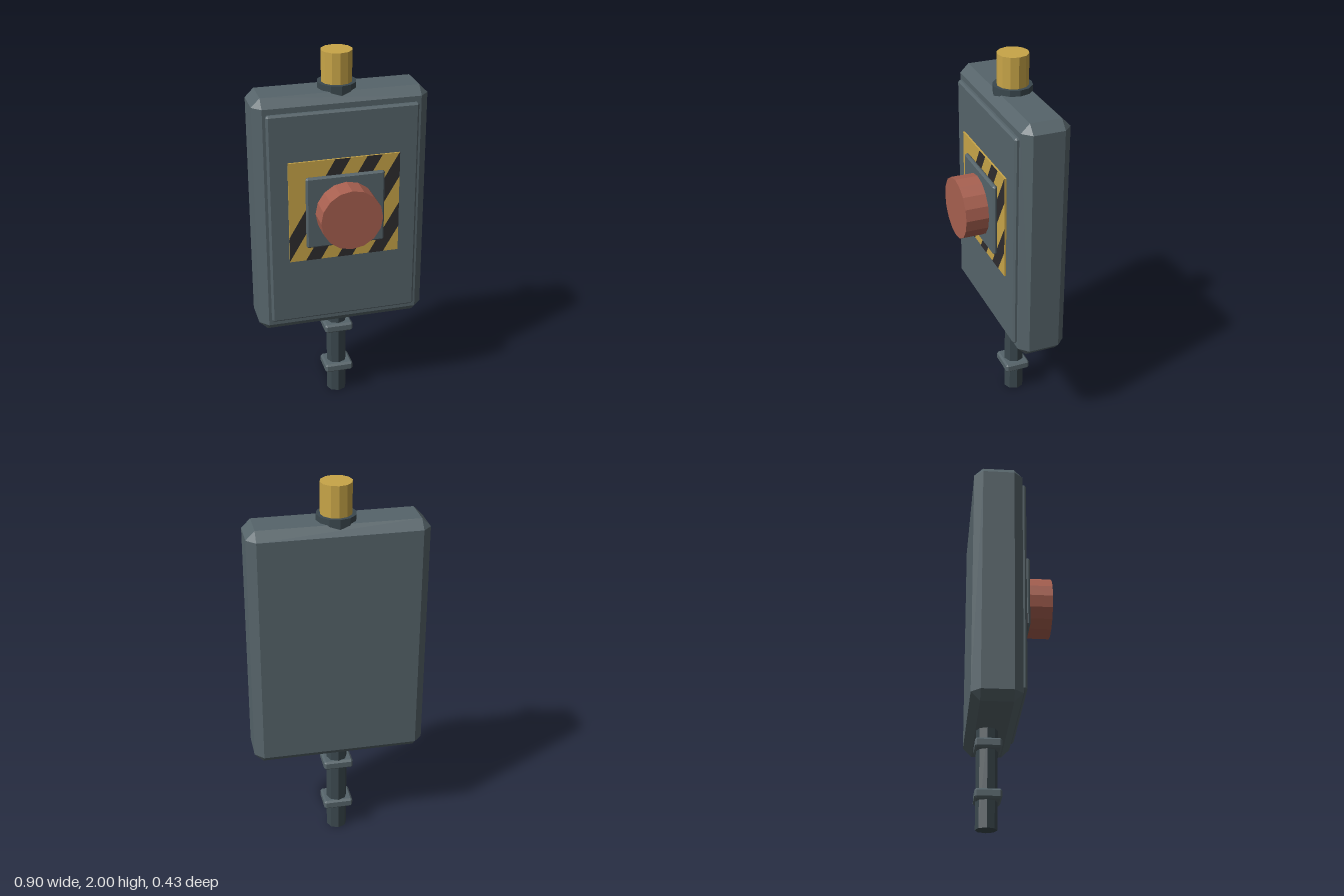
import * as THREE from 'three';
import { ConvexGeometry } from 'three/addons/geometries/ConvexGeometry.js';

const mat = (color, extra = {}) => new THREE.MeshStandardMaterial({ color, flatShading: true, ...extra });

// Box given by its bounds, with every edge cut at 45 degrees by c
function chamferBox([x0, x1], [y0, y1], [z0, z1], c) {
  const half = [(x1 - x0) / 2, (y1 - y0) / 2, (z1 - z0) / 2];
  const points = [];
  for (const sx of [-1, 1]) for (const sy of [-1, 1]) for (const sz of [-1, 1]) {
    for (let axis = 0; axis < 3; axis++) {
      const p = half.map((h, i) => (i === axis ? h : h - c));
      points.push(new THREE.Vector3(sx * p[0], sy * p[1], sz * p[2]));
    }
  }
  return new ConvexGeometry(points).translate((x0 + x1) / 2, (y0 + y1) / 2, (z0 + z1) / 2);
}

// Upright prism between two heights
const post = (r, y0, y1, sides, z) =>
  new THREE.CylinderGeometry(r, r, y1 - y0, sides).translate(0, (y0 + y1) / 2, z);

// Prism pointing forward between two depths
const knob = (r, z0, z1, sides, y) =>
  new THREE.CylinderGeometry(r, r, z1 - z0, sides).rotateX(Math.PI / 2).translate(0, y, (z0 + z1) / 2);

// Cut a polygon so that side * x <= limit
function clipX(poly, side, limit) {
  const out = [];
  poly.forEach((a, i) => {
    const b = poly[(i + 1) % poly.length];
    const da = limit - side * a.x, db = limit - side * b.x;
    if (da >= 0) out.push(a);
    if (da * db < 0) out.push(a.clone().lerp(b, da / (da - db)));
  });
  return out;
}

export function createModel() {
  const group = new THREE.Group();
  const steel = mat(0x56646a);
  const dark = mat(0x3b484e);
  const yellow = mat(0xc8a548);
  const black = mat(0x2e2c2e, { side: THREE.DoubleSide });
  const red = mat(0xa86050);

  const add = (name, geometry, material) => {
    const mesh = new THREE.Mesh(geometry, material);
    mesh.name = name;
    group.add(mesh);
  };

  // Housing and front cover
  add('housing', chamferBox([-0.45, 0.45], [0.51, 1.81], [-0.217, 0.034], 0.045), steel);
  add('frontCover', chamferBox([-0.39, 0.39], [0.58, 1.736], [0.02, 0.055], 0.01), steel);

  // Warning plate with slanted stripes
  const w = 0.29, bottom = 0.935, top = 1.485, midY = 1.21;
  add('warningPlate', new THREE.BoxGeometry(2 * w, top - bottom, 0.014).translate(0, midY, 0.057), yellow);
  for (let k = -1; k <= 2; k++) {
    const x = -0.206 + k * 0.167, width = 0.08, slant = 0.325;
    let poly = [
      new THREE.Vector2(x, bottom), new THREE.Vector2(x + width, bottom),
      new THREE.Vector2(x + width + slant, top), new THREE.Vector2(x + slant, top),
    ];
    poly = clipX(clipX(poly, 1, w), -1, w);
    add('warningStripe', new THREE.ShapeGeometry(new THREE.Shape(poly)).translate(0, 0, 0.0655), black);
  }

  // Push button
  add('buttonBase', chamferBox([-0.205, 0.205], [1.015, 1.405], [0.066, 0.091], 0.009), steel);
  add('buttonNeck', knob(0.087, 0.085, 0.1, 16, midY), dark);
  add('button', knob(0.16, 0.095, 0.215, 16, midY), red);

  // Fitting on top
  add('topCollar', post(0.1, 1.77, 1.84, 12, -0.092), dark);
  add('topFitting', post(0.08, 1.8, 2, 12, -0.092), yellow);

  // Cable with clamps below
  add('cable', post(0.055, 0, 0.54, 8, -0.113), dark);
  for (const y of [0.14, 0.4]) {
    add('cableClamp', chamferBox([-0.078, 0.078], [y, y + 0.05], [-0.176, -0.04], 0.01), steel);
  }
  return group;
}
